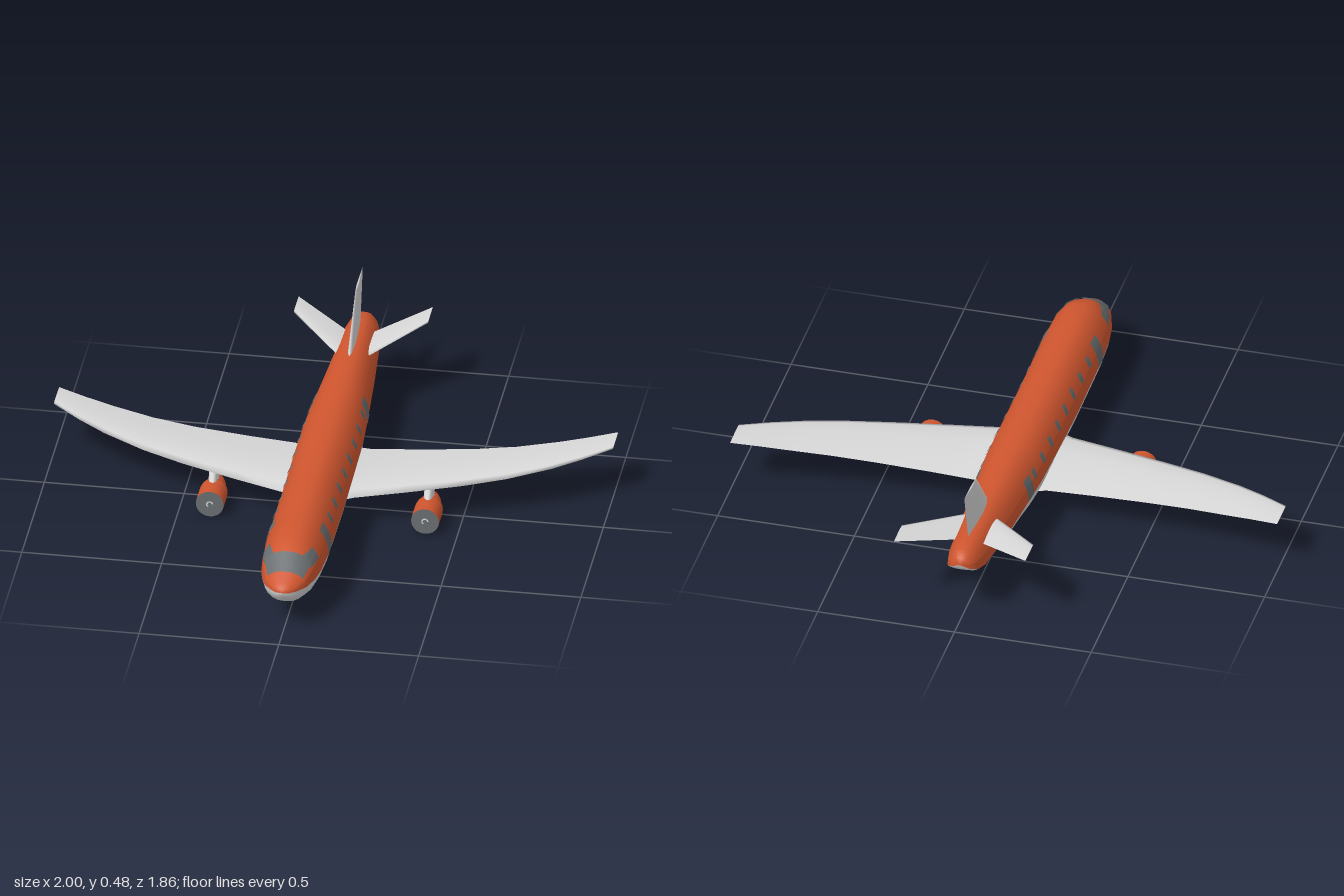
import * as THREE from 'three';

const mat = (name, color, side = THREE.FrontSide) => {
  const m = new THREE.MeshStandardMaterial({ color, side });
  m.name = name;
  return m;
};

// Smooth surface through rows of points
function grid(rows) {
  const n = rows[0].length, index = [];
  for (let i = 0; i < rows.length - 1; i++)
    for (let j = 0; j < n - 1; j++) {
      const a = i * n + j, b = a + n;
      index.push(a, a + 1, b, a + 1, b + 1, b);
    }
  const geo = new THREE.BufferGeometry();
  geo.setAttribute('position', new THREE.Float32BufferAttribute(rows.flat(2), 3));
  geo.setIndex(index);
  geo.computeVertexNormals();
  return geo;
}

// Mirror a geometry to the other side, keeping its faces outward
function mirrorX(geo) {
  const g = geo.clone().scale(-1, 1, 1);
  const ix = g.index.array;
  for (let i = 0; i < ix.length; i += 3) [ix[i], ix[i + 1]] = [ix[i + 1], ix[i]];
  g.computeVertexNormals();
  return g;
}

// Aerofoil: [chord position, thickness], from trailing edge over the top and back
const FOIL = [[1, 0], [0.7, 0.35], [0.35, 0.6], [0.1, 0.4], [0, 0], [0.1, -0.3], [0.4, -0.4], [0.7, -0.25], [1, 0]];

// Each station: leading point, trailing point, thickness
function foil(stations, up) {
  const rows = stations.map(([le, te, t]) =>
    FOIL.map(([c, h]) => le.map((v, k) => v + (te[k] - v) * c + up[k] * h * t)));
  const [le, te] = stations[stations.length - 1];
  rows.push(FOIL.map(() => le.map((v, k) => (v + te[k]) / 2)));
  return grid(rows);
}

// Fuselage stations: z, top, bottom, half width, height of colour line
const HULL = [
  [-0.925, 0.235, 0.235, 0, 0.235], [-0.92, 0.262, 0.215, 0.035, 0.222],
  [-0.89, 0.28, 0.195, 0.055, 0.205], [-0.83, 0.286, 0.178, 0.068, 0.19],
  [-0.6, 0.287, 0.125, 0.085, 0.168], [-0.3, 0.287, 0.062, 0.105, 0.16],
  [-0.2, 0.287, 0.05, 0.11, 0.157], [0, 0.287, 0.05, 0.112, 0.15],
  [0.25, 0.287, 0.051, 0.112, 0.139], [0.6, 0.286, 0.058, 0.112, 0.148],
  [0.72, 0.282, 0.066, 0.106, 0.153], [0.79, 0.26, 0.075, 0.096, 0.156],
  [0.86, 0.217, 0.098, 0.075, 0.161], [0.9, 0.195, 0.122, 0.048, 0.165],
  [0.92, 0.182, 0.148, 0.025, 0.166], [0.925, 0.167, 0.167, 0, 0.167],
];
// Half cross-sections: [width, height] as fractions
const SIDE = [[1, 0], [0.98, 0.2], [0.93, 0.4]];
const ROOF = [[0.93, 0.4], [0.83, 0.58], [0.66, 0.78], [0.42, 0.94], [0.2, 0.99], [0, 1]];
const BELLY = [[0, 1], [0.35, 0.96], [0.62, 0.8], [0.83, 0.55], [0.95, 0.27], [1, 0]];

function stationAt(z) {
  const i = Math.max(1, HULL.findIndex((s) => s[0] >= z));
  const a = HULL[i - 1], b = HULL[i], t = (z - a[0]) / (b[0] - a[0]);
  return a.map((v, k) => v + (b[k] - v) * t);
}
const upperPoint = ([z, top, , w, seam], [px, py]) => [w * px, seam + (top - seam) * py, z];
const lowerPoint = ([z, , bot, w, seam], [px, py]) => [w * px, seam + (bot - seam) * py, z];
const flip = ([x, y]) => [-x, y];
const arch = (half) => [...half, ...half.slice(0, -1).reverse().map(flip)];

// Hull half width at a given z and height
function hullX(z, y) {
  const [, top, , w, seam] = stationAt(z);
  const h = Math.min(1, Math.max(0, (y - seam) / (top - seam)));
  const prof = [...SIDE, ...ROOF.slice(1)];
  const i = Math.max(1, prof.findIndex((p) => p[1] >= h));
  const a = prof[i - 1], b = prof[i];
  return w * (a[0] + (b[0] - a[0]) * (h - a[1]) / (b[1] - a[1]));
}

// Thin panel lying on the left flank
function flankPanel(z0, z1, y0, y1) {
  const rows = [], n = 8;
  for (let i = 0; i <= n; i++) {
    const z = z0 + (z1 - z0) * i / n;
    rows.push(Array.from({ length: n + 1 }, (_, j) => {
      const y = y0 + (y1 - y0) * j / n;
      return [hullX(z, y) + 0.003, y + 0.001, z];
    }));
  }
  return grid(rows);
}

export function createModel() {
  const model = new THREE.Group();
  model.name = 'airliner';
  const red = mat('red paint', 0xd0562f);
  const white = mat('light grey paint', 0xd8d8d8);
  const grey = mat('window grey', 0x696e70, THREE.DoubleSide);

  const add = (name, geo, material, parent = model) => {
    const mesh = new THREE.Mesh(geo, material);
    mesh.name = name;
    parent.add(mesh);
    return mesh;
  };
  const addPair = (name, geo, material) => {
    add(name + 'Left', geo, material);
    add(name + 'Right', mirrorX(geo), material);
  };

  // Fuselage: roof, flanks and belly
  add('fuselageRoof', grid(HULL.map((s) => arch(ROOF).map((p) => upperPoint(s, p)))), red);
  addPair('fuselageFlank', grid(HULL.map((s) => SIDE.map((p) => upperPoint(s, p)))), red);
  const bellyArc = [...BELLY.slice(1).reverse().map(flip), ...BELLY];
  add('fuselageBelly', grid(HULL.map((s) => bellyArc.map((p) => lowerPoint(s, p)))), white);

  // Cabin windows, doors and cockpit glass
  for (let i = 0; i < 8; i++) {
    const z = 0.464 - i * 0.105;
    addPair('cabinWindow' + (i + 1), flankPanel(z - 0.014, z + 0.014, 0.203, 0.238), grey);
  }
  addPair('frontDoor', flankPanel(0.54, 0.603, 0.15, 0.246), grey);
  addPair('rearDoor', flankPanel(-0.37, -0.31, 0.164, 0.24), grey);
  addPair('cockpitSideWindow', flankPanel(0.725, 0.805, 0.207, 0.248), grey);
  const glass = arch(ROOF.slice(1));
  add('windscreen', grid([0.79, 0.825, 0.86].map((z) => glass.map((p) => {
    const [x, y] = upperPoint(stationAt(z), p);
    return [x * 1.03, y + 0.003, z + 0.003];
  }))), grey);

  // Wings: x, leading z, trailing z, y, thickness
  const wing = [
    [0.07, 0.165, -0.228, 0.115, 0.065], [0.13, 0.135, -0.215, 0.118, 0.036],
    [0.3, 0.09, -0.22, 0.128, 0.03], [0.5, 0.033, -0.232, 0.141, 0.024],
    [0.65, -0.018, -0.25, 0.154, 0.02], [0.8, -0.085, -0.28, 0.171, 0.015],
    [0.9, -0.143, -0.303, 0.185, 0.011], [1, -0.21, -0.33, 0.2, 0.006],
  ].map(([x, zl, zt, y, t]) => [[x, y, zl], [x, y, zt], t]);
  addPair('wing', foil(wing, [0, 1, 0]), white);

  // Tail surfaces
  addPair('tailplane', foil([
    [[0.03, 0.247, -0.6], [0.03, 0.25, -0.785], 0.016],
    [[0.24, 0.296, -0.82], [0.24, 0.298, -0.93], 0.005],
  ], [0, 1, 0]), white);
  add('tailFin', foil([
    [[0, 0.27, -0.545], [0, 0.27, -0.81], 0.022],
    [[0, 0.462, -0.705], [0, 0.477, -0.865], 0.008],
  ], [-1, 0, 0]), white);

  // Engines with pylons
  const nacelle = new THREE.LatheGeometry([
    [0, -0.05], [0.016, -0.046], [0.026, -0.025], [0.035, 0], [0.043, 0.035],
    [0.048, 0.045], [0.05, 0.06], [0.05, 0.145],
  ].map(([r, h]) => new THREE.Vector2(r, h)), 20).rotateX(Math.PI / 2);
  const pylon = foil([
    [[0, 0.01, 0.11], [0, 0.01, -0.05], 0.036],
    [[0, 0.08, 0.06], [0, 0.08, -0.08], 0.036],
  ], [-1, 0, 0]);
  for (const side of [1, -1]) {
    const engine = new THREE.Group();
    engine.name = side > 0 ? 'engineLeft' : 'engineRight';
    engine.position.set(0.385 * side, 0.05, 0);
    add('nacelle', nacelle, red, engine);
    add('pylon', pylon, white, engine);
    add('fanFace', new THREE.CircleGeometry(0.05, 20), grey, engine).position.z = 0.145;
    add('spinnerMark', new THREE.RingGeometry(0.008, 0.013, 12, 1, 0, 4.2), white, engine).position.z = 0.147;
    model.add(engine);
  }
  return model;
}
